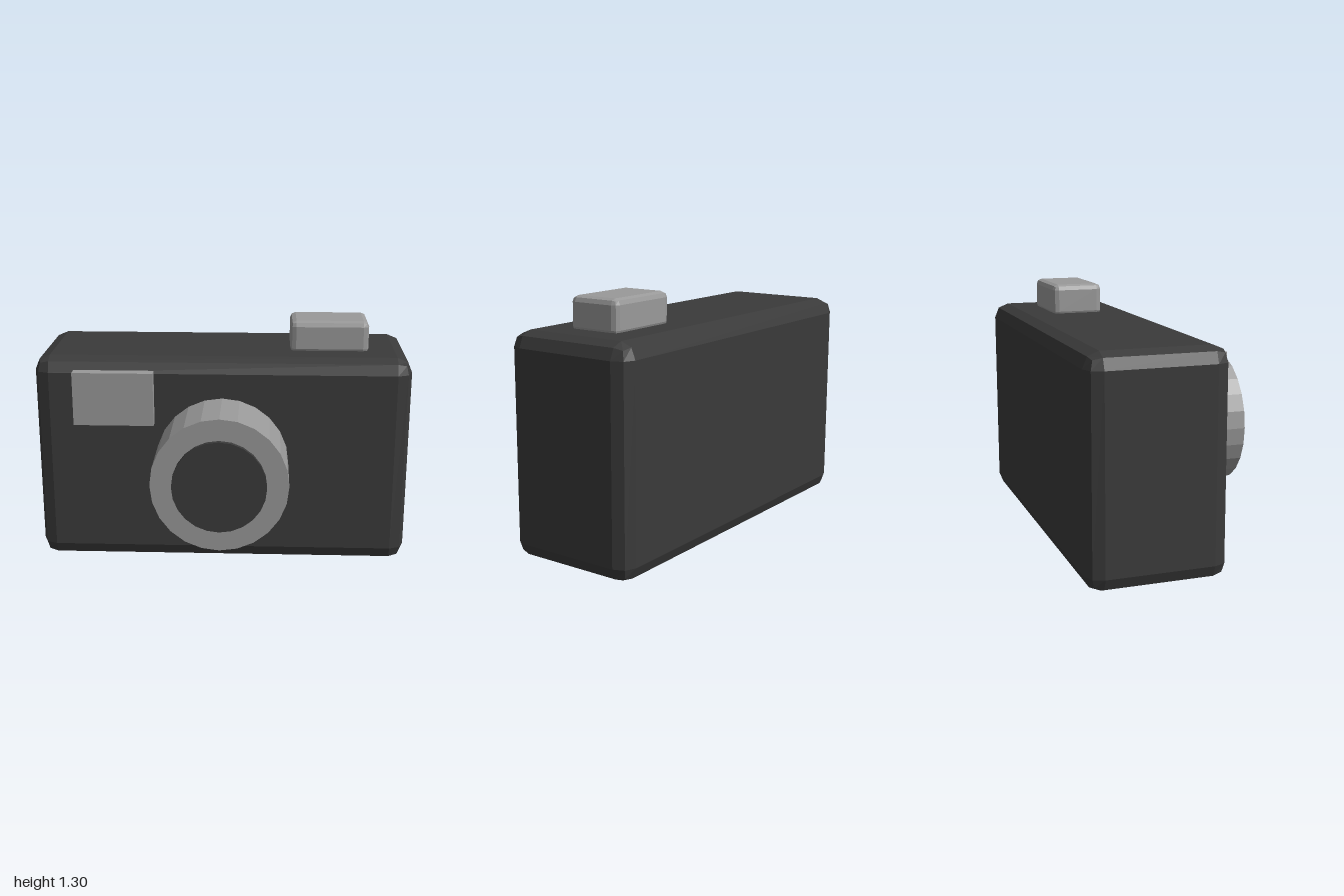
import * as THREE from 'three';
import { RoundedBoxGeometry } from 'three/addons/geometries/RoundedBoxGeometry.js';

const darkShell = new THREE.MeshStandardMaterial({ color: 0x3a3a3a });
const greyTrim = new THREE.MeshStandardMaterial({ color: 0x999999 });

// Facet a geometry so every face is flat shaded
function faceted(geometry) {
  const flat = geometry.index ? geometry.toNonIndexed() : geometry;
  flat.computeVertexNormals();
  return flat;
}

function addPart(group, name, geometry, material, x, y, z) {
  const mesh = new THREE.Mesh(faceted(geometry), material);
  mesh.name = name;
  mesh.position.set(x, y, z);
  group.add(mesh);
}

// Cylinder along z between two depths
function barrel(radius, depth) {
  return new THREE.CylinderGeometry(radius, radius, depth, 24).rotateX(Math.PI / 2);
}

export function createModel() {
  const camera = new THREE.Group();
  camera.name = 'camera';

  // Bevelled main body
  addPart(camera, 'body', new RoundedBoxGeometry(2, 1.14, 0.71, 1, 0.08), darkShell, 0, 0.57, -0.195);

  // Shutter button, sunk slightly into the top
  addPart(camera, 'shutterButton', new RoundedBoxGeometry(0.42, 0.18, 0.28, 1, 0.03), greyTrim, 0.57, 1.21, -0.19);

  // Viewfinder plate on the front
  addPart(camera, 'viewfinder', new THREE.BoxGeometry(0.425, 0.285, 0.115), greyTrim, -0.573, 0.933, 0.158);

  // Lens barrel and dark glass
  addPart(camera, 'lensBarrel', barrel(0.355, 0.425), greyTrim, 0, 0.575, 0.3125);
  addPart(camera, 'lensGlass', barrel(0.243, 0.1), darkShell, 0, 0.575, 0.5);

  return camera;
}
